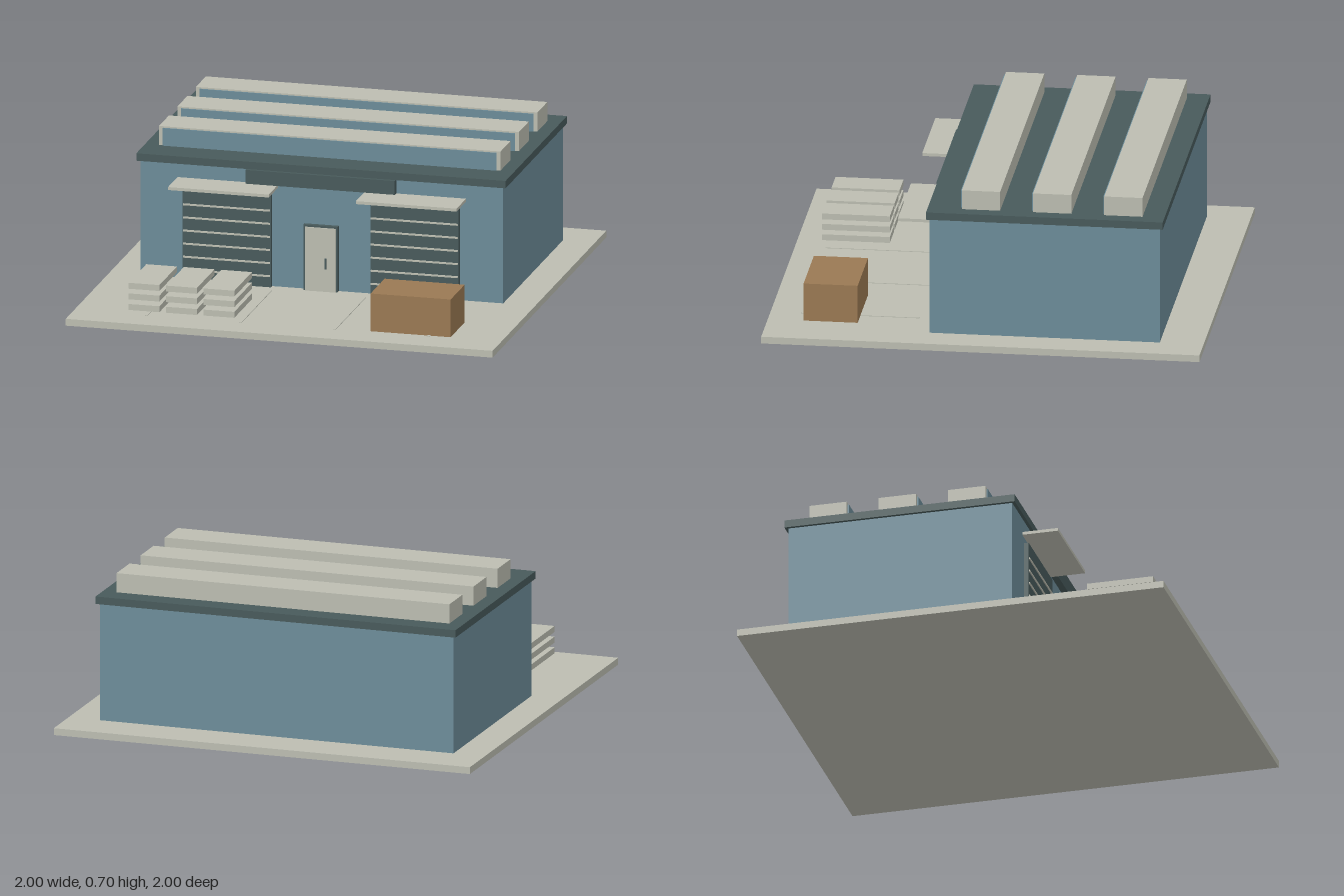
import * as THREE from 'three';

const mat = (name, color) => {
  const m = new THREE.MeshStandardMaterial({ color });
  m.name = name;
  return m;
};

export function createModel() {
  const blue = mat('blue cladding', 0x6c8c99);
  const dark = mat('dark trim', 0x485a5b);
  const pale = mat('pale concrete', 0xbcbdb1);
  const brown = mat('brown crate', 0x9a7953);

  const model = new THREE.Group();
  model.name = 'warehouse';

  // Box given by its extents on each axis
  const box = (name, material, [x0, x1], [y0, y1], [z0, z1], parent = model) => {
    const mesh = new THREE.Mesh(new THREE.BoxGeometry(x1 - x0, y1 - y0, z1 - z0), material);
    mesh.position.set((x0 + x1) / 2, (y0 + y1) / 2, (z0 + z1) / 2);
    mesh.name = name;
    parent.add(mesh);
    return mesh;
  };
  const group = (name) => {
    const g = new THREE.Group();
    g.name = name;
    model.add(g);
    return g;
  };

  // Yard, hall and roof
  box('yardSlab', pale, [-1, 1], [0, 0.032], [-1, 1]);
  box('walls', blue, [-0.85, 0.85], [0.032, 0.58], [-0.8, 0.25]);
  box('roofSlab', dark, [-0.865, 0.865], [0.58, 0.615], [-0.815, 0.265]);

  // Roof lights, glazed on the front
  for (const z of [-0.715, -0.39, -0.065]) {
    const g = group('roofLight');
    box('roofLightBody', pale, [-0.8, 0.8], [0.615, 0.705], [z, z + 0.175], g);
    box('roofLightGlass', blue, [-0.782, 0.782], [0.615, 0.698], [z + 0.175, z + 0.181], g);
  }

  // Blank fascia board under the roof edge
  box('fasciaBoard', dark, [-0.35, 0.35], [0.515, 0.58], [0.25, 0.281]);

  // Loading bays: shutter with slats, canopy and bay lines
  for (const side of [-1, 1]) {
    const c = side * 0.44;
    const g = group(side < 0 ? 'rightLoadingBay' : 'leftLoadingBay');
    box('shutter', dark, [c - 0.207, c + 0.207], [0.032, 0.47], [0.25, 0.272], g);
    for (let i = 0; i < 6; i++) {
      const y = 0.085 + i * 0.0618;
      box('shutterSlat', pale, [c - 0.204, c + 0.204], [y - 0.004, y + 0.004], [0.27, 0.277], g);
    }
    box('canopy', pale, [c - 0.236, c + 0.236], [0.499, 0.513], [0.25, 0.417], g);
    for (const dx of [-0.22, 0.22]) {
      box('bayLine', pale, [c + dx - 0.006, c + dx + 0.006], [0.032, 0.035], [0.32, 0.86], g);
    }
  }

  // Staff door
  const door = group('staffDoor');
  box('doorFrame', dark, [-0.08, 0.08], [0.032, 0.34], [0.25, 0.272], door);
  box('doorLeaf', pale, [-0.072, 0.072], [0.032, 0.331], [0.27, 0.279], door);
  box('doorHandle', dark, [0.022, 0.03], [0.14, 0.19], [0.279, 0.286], door);

  // Stacked boards, three piles of three
  const boards = group('boardStacks');
  for (const x of [-0.665, -0.489, -0.314]) {
    for (const y of [0.06, 0.11, 0.16]) {
      box('board', pale, [x - 0.072, x + 0.072], [y, y + 0.028], [0.57, 0.88], boards);
    }
  }

  // Crate
  box('crate', brown, [0.385, 0.76], [0.032, 0.21], [0.59, 0.837]);

  return model;
}
